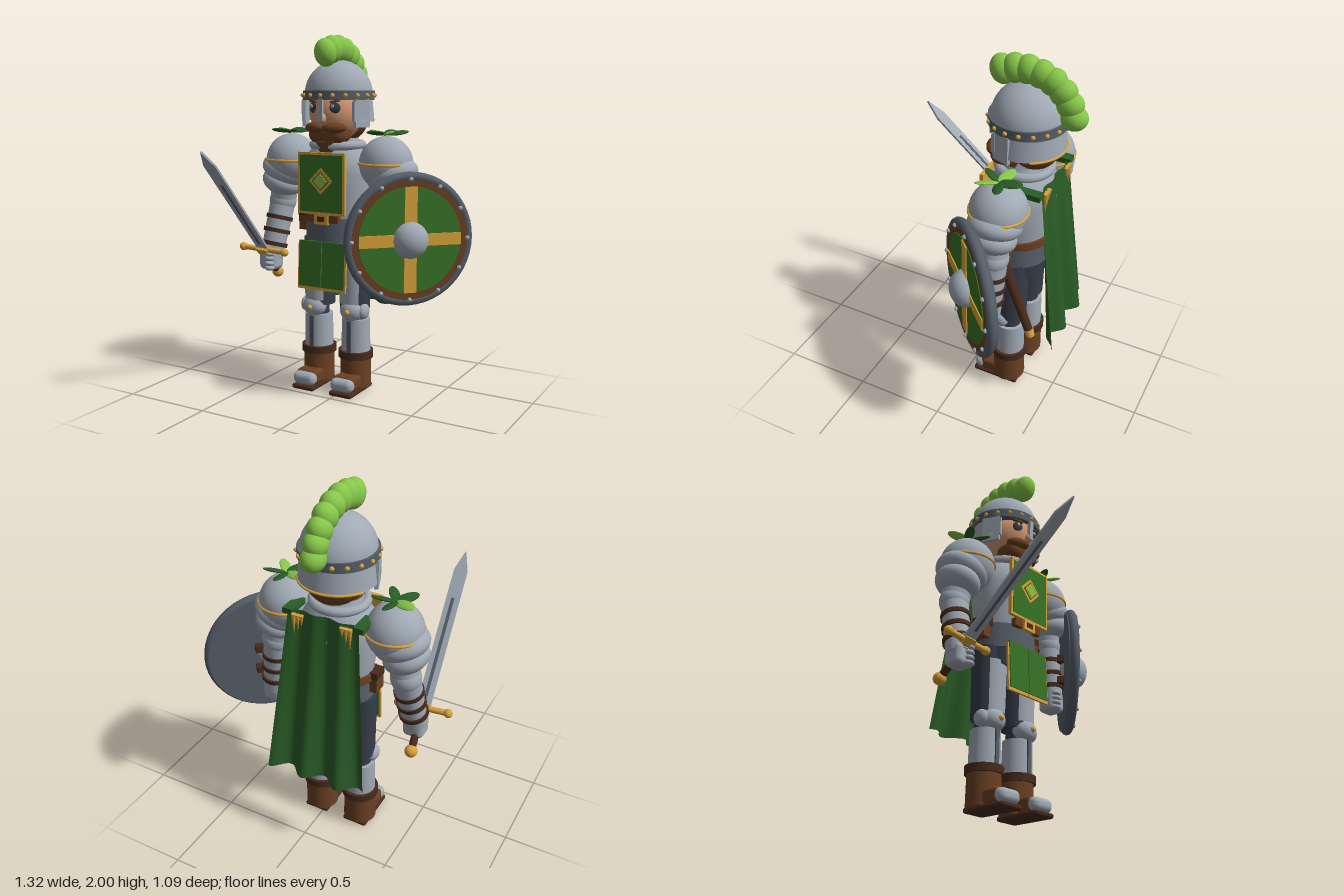
import * as THREE from 'three';
import { RoundedBoxGeometry } from 'three/addons/geometries/RoundedBoxGeometry.js';

const colour = (name, hex, side = THREE.FrontSide) => {
  const m = new THREE.MeshStandardMaterial({ color: hex, side });
  m.name = name;
  return m;
};
const steel = colour('steel', 0xa0a9b4, THREE.DoubleSide);
const darkSteel = colour('dark steel', 0x555e68);
const navy = colour('dark cloth', 0x363d48);
const skin = colour('skin', 0xd49a74);
const brown = colour('brown leather', 0x6a4022);
const darkBrown = colour('dark brown', 0x472a1c);
const gold = colour('gold', 0xd9a23a);
const green = colour('green cloth', 0x377326);
const capeGreen = colour('cape green', 0x2a5c26, THREE.DoubleSide);
const lime = colour('lime', 0x86c649);

const V = (x, y, z) => new THREE.Vector3(x, y, z);
const UP = V(0, 1, 0);

function add(parent, name, geo, mat, x = 0, y = 0, z = 0, rx = 0, ry = 0, rz = 0) {
  const m = new THREE.Mesh(geo, mat);
  m.name = name;
  m.position.set(x, y, z);
  m.rotation.set(rx, ry, rz);
  parent.add(m);
  return m;
}
const box = (w, h, d) => new THREE.BoxGeometry(w, h, d);
const softBox = (w, h, d, r) => new RoundedBoxGeometry(w, h, d, 4, r);
const cyl = (r1, r2, h, n = 32) => new THREE.CylinderGeometry(r1, r2, h, n);
const ball = (rx, ry = rx, rz = rx) => new THREE.SphereGeometry(1, 28, 18).scale(rx, ry, rz);
const ring = (r, t, arc = Math.PI * 2) => new THREE.TorusGeometry(r, t, 10, 48, arc);

// Tapered cylinder from a to b
function limb(parent, name, a, b, ra, rb, mat) {
  const d = b.clone().sub(a);
  const m = add(parent, name, cyl(rb, ra, d.length(), 24), mat);
  m.position.copy(a).lerp(b, 0.5);
  m.quaternion.setFromUnitVectors(UP, d.normalize());
  return m;
}

function buildHead() {
  const g = new THREE.Group();
  g.name = 'head';
  g.position.z = -0.01;
  add(g, 'face', ball(0.155, 0.17, 0.172), skin, 0, 1.59, 0.01);
  add(g, 'hair', ball(0.145, 0.13, 0.13), brown, 0, 1.54, -0.05);
  add(g, 'nose', ball(0.022, 0.03, 0.025), skin, 0, 1.55, 0.18);
  add(g, 'beard', softBox(0.225, 0.11, 0.15, 0.05), brown, 0, 1.465, 0.095);
  add(g, 'beardTip', cyl(0.075, 0.05, 0.06), brown, 0, 1.395, 0.11);
  for (const s of [-1, 1]) {
    add(g, 'eye', ball(0.031, 0.031, 0.012), navy, s * 0.066, 1.605, 0.158, 0, s * 0.4, 0);
    add(g, 'eyeGlint', ball(0.011, 0.011, 0.005), steel, s * 0.066 - 0.007, 1.614, 0.172);
    add(g, 'eyebrow', box(0.055, 0.012, 0.02), brown, s * 0.068, 1.641, 0.16, 0, s * 0.4, s * 0.2);
    add(g, 'moustache', ball(0.068, 0.03, 0.035), brown, s * 0.062, 1.498, 0.16, 0, s * 0.4, 0);
    add(g, 'cheekGuard', box(0.02, 0.15, 0.1), steel, s * 0.178, 1.575, 0.06, 0, -s * 0.35, 0);
    add(g, 'cheekRidge', box(0.022, 0.11, 0.025), steel, s * 0.162, 1.585, 0.105, 0, -s * 0.4, 0);
  }
  // Helmet
  add(g, 'helmetDome', new THREE.SphereGeometry(0.19, 40, 20, 0, Math.PI * 2, 0, Math.PI / 2), steel, 0, 1.675, 0);
  add(g, 'helmetBand', cyl(0.2, 0.2, 0.05, 40), darkSteel, 0, 1.672, 0);
  for (let i = 0; i < 18; i++) {
    const a = (i / 18) * Math.PI * 2;
    add(g, 'bandStud', ball(0.012), gold, Math.sin(a) * 0.2, 1.672, Math.cos(a) * 0.2);
  }
  add(g, 'neckGuard', new THREE.CylinderGeometry(0.188, 0.2, 0.12, 40, 1, true, 1.15, Math.PI * 2 - 2.3), steel, 0, 1.59, 0);
  add(g, 'neckGuardTrim', ring(0.2, 0.007, 2.2), gold, 0, 1.53, 0, -Math.PI / 2, 0, (Math.PI - 2.2) / 2);
  add(g, 'noseGuard', box(0.026, 0.12, 0.02), steel, 0, 1.595, 0.195);
  // Plume of overlapping tufts
  const arc = new THREE.CatmullRomCurve3([V(0, 1.9, 0.145), V(0, 1.926, 0.03), V(0, 1.9, -0.1),
    V(0, 1.825, -0.19), V(0, 1.725, -0.235)]);
  arc.getSpacedPoints(7).forEach((p, i) =>
    add(g, 'plumeTuft', ball(0.06, 0.077 - i * 0.001, 0.064), lime, p.x, p.y, p.z, 0.3 - i * 0.25));
  return g;
}

function buildTorso() {
  const g = new THREE.Group();
  g.name = 'torso';
  const profile = [[0, 0.86], [0.15, 0.87], [0.175, 0.97], [0.19, 1.1], [0.205, 1.24], [0.195, 1.32], [0.15, 1.38], [0.125, 1.41], [0.12, 1.44]];
  add(g, 'breastplate', new THREE.LatheGeometry(profile.map(p => new THREE.Vector2(...p)), 40).scale(1, 1, 0.85), steel);
  add(g, 'gorget', ring(0.135, 0.025), steel, 0, 1.4, 0, Math.PI / 2);
  add(g, 'waistPlate', cyl(0.178, 0.186, 0.14).scale(1, 1, 0.88), darkSteel, 0, 0.93, 0);
  add(g, 'hips', cyl(0.18, 0.17, 0.1).scale(1, 1, 0.85), navy, 0, 0.82, 0);
  add(g, 'belt', new THREE.CylinderGeometry(0.192, 0.192, 0.045, 40, 1, false, 1.1, Math.PI * 2 - 2.2).scale(1, 1, 0.88), brown, 0, 1.0, 0);
  add(g, 'beltFront', box(0.2, 0.042, 0.03), brown, 0, 1.0, 0.16);
  add(g, 'buckle', box(0.085, 0.06, 0.02), gold, 0, 1.0, 0.178);
  add(g, 'buckleCentre', box(0.045, 0.028, 0.008), darkBrown, 0, 1.0, 0.186);
  for (const s of [-1, 1]) {
    add(g, 'pouch', box(0.05, 0.11, 0.08), brown, s * 0.195, 0.965, 0.02);
    add(g, 'pouchFlap', box(0.055, 0.035, 0.086), darkBrown, s * 0.195, 1.01, 0.02);
  }
  // Chest tabard with diamond emblem
  add(g, 'tabardBorder', box(0.295, 0.34, 0.02), gold, 0, 1.195, 0.175);
  add(g, 'tabard', box(0.268, 0.313, 0.008), green, 0, 1.195, 0.183);
  [[0.104, gold], [0.076, green], [0.064, gold], [0.052, lime]].forEach(([w, m], i) =>
    add(g, 'emblem', box(w, w, 0.006), m, 0, 1.21, 0.186 + i * 0.0025, 0, 0, Math.PI / 4));
  // Hanging skirt panels
  for (const s of [-1, 1]) {
    add(g, 'skirtPanelBorder', box(0.152, 0.265, 0.012), gold, s * 0.077, 0.73, 0.172, -0.05);
    add(g, 'skirtPanel', box(0.142, 0.257, 0.02), green, s * 0.073, 0.743, 0.173, -0.05);
  }
  // Scabbard on the left hip
  const top = V(0.225, 0.99, 0.03), tip = V(0.25, 0.53, -0.165);
  limb(g, 'scabbard', top, tip, 0.03, 0.024, darkBrown);
  limb(g, 'scabbardTip', tip, V(0.253, 0.49, -0.183), 0.029, 0.022, gold);
  return g;
}

function buildLeg(s) {
  const g = new THREE.Group();
  g.name = s > 0 ? 'leftLeg' : 'rightLeg';
  g.position.x = s * 0.122;
  add(g, 'thigh', cyl(0.092, 0.086, 0.39), navy, -s * 0.008, 0.675, 0);
  add(g, 'thighPlate', new THREE.CylinderGeometry(0.096, 0.09, 0.28, 24, 1, true, -0.75, 1.5), steel, -s * 0.008, 0.65, 0.003);
  add(g, 'kneeJoint', cyl(0.06, 0.06, 0.12), navy, 0, 0.45, 0);
  add(g, 'kneeCap', ball(0.07, 0.062, 0.06), steel, 0, 0.47, 0.05);
  add(g, 'kneeWing', ball(0.03, 0.045, 0.045), steel, s * 0.065, 0.47, 0.03);
  add(g, 'kneeStud', ball(0.016), gold, 0, 0.47, 0.108);
  add(g, 'greave', cyl(0.08, 0.084, 0.22), steel, 0, 0.31, 0);
  add(g, 'greaveRidge', box(0.025, 0.19, 0.02), darkSteel, 0, 0.32, 0.079);
  // Boot
  add(g, 'bootCuff', cyl(0.1, 0.1, 0.042), darkBrown, 0, 0.212, 0);
  add(g, 'bootShaft', cyl(0.088, 0.09, 0.17), brown, 0, 0.11, 0);
  add(g, 'bootFoot', softBox(0.135, 0.085, 0.16, 0.025), brown, 0, 0.065, 0.075);
  add(g, 'toeCap', softBox(0.142, 0.072, 0.07, 0.032), steel, 0, 0.063, 0.158);
  add(g, 'sole', softBox(0.142, 0.028, 0.27, 0.013), darkBrown, 0, 0.014, 0.06);
  return g;
}

function buildArm(s, handZ) {
  const g = new THREE.Group();
  g.name = s > 0 ? 'leftArm' : 'rightArm';
  const elbow = V(s * 0.375, 1.06, -0.01), hand = V(s * 0.405, 0.73, handZ);
  add(g, 'pauldron', ball(0.148, 0.15, 0.15), steel, s * 0.303, 1.305, 0);
  add(g, 'pauldronTrim', ring(0.148, 0.008), gold, s * 0.303, 1.305, 0, Math.PI / 2);
  add(g, 'upperLame', ball(0.145, 0.085, 0.14), steel, s * 0.342, 1.245, 0, 0, 0, s * 0.35);
  add(g, 'lowerLame', ball(0.12, 0.08, 0.125), steel, s * 0.368, 1.175, 0, 0, 0, s * 0.35);
  limb(g, 'upperArm', V(s * 0.34, 1.25, 0), elbow, 0.085, 0.075, steel);
  add(g, 'elbow', ball(0.08), steel, elbow.x, elbow.y, elbow.z);
  limb(g, 'forearm', elbow, hand, 0.074, 0.066, steel);
  for (const t of [0.27, 0.5, 0.73]) {
    limb(g, 'forearmStrap', elbow.clone().lerp(hand, t), elbow.clone().lerp(hand, t + 0.07), 0.079, 0.078, darkBrown);
  }
  add(g, 'gauntlet', softBox(0.115, 0.12, 0.11, 0.03), steel, hand.x, hand.y - 0.01, hand.z);
  for (let i = 0; i < 4; i++) {
    add(g, 'finger', ball(0.03, 0.018, 0.035), steel, hand.x - s * 0.02, hand.y + 0.03 - i * 0.028, hand.z + 0.045);
  }
  // Leaf cluster on the shoulder
  for (let i = 0; i < 5; i++) {
    const a = Math.PI + (i / 5) * Math.PI * 2 + 0.05 * s;
    const leaf = add(g, 'leaf', ball(0.029, 0.009, 0.062), i === 1 || i === 4 - s ? lime : capeGreen,
      s * 0.303 + Math.sin(a) * 0.06, 1.472, Math.cos(a) * 0.06);
    leaf.rotation.set(-0.12, a, 0.3, 'YXZ');
  }
  return g;
}

function buildCape() {
  const g = new THREE.Group();
  g.name = 'capeGroup';
  const geo = new THREE.PlaneGeometry(1, 1, 40, 16);
  const p = geo.attributes.position;
  for (let i = 0; i < p.count; i++) {
    const u = p.getX(i) * 2, t = 0.5 - p.getY(i);
    const fold = Math.cos((u - 0.25) * Math.PI * 2.67) * (0.008 + 0.028 * t);
    p.setXYZ(i, u * (0.19 + 0.08 * t), 1.38 - 0.93 * t, -0.168 - 0.11 * t - fold);
  }
  geo.computeVertexNormals();
  add(g, 'cape', geo, capeGreen);
  for (const s of [-1, 1]) {
    add(g, 'capeStrap', box(0.055, 0.03, 0.13), capeGreen, s * 0.195, 1.365, -0.115);
    for (let i = 0; i < 3; i++) {
      const h = 0.12 - i * 0.03;
      add(g, 'capeClasp', new THREE.ConeGeometry(0.013, h, 8), gold, s * (0.155 - i * 0.022), 1.365 - h / 2, -0.184, Math.PI);
    }
  }
  return g;
}

function buildSword() {
  const g = new THREE.Group();
  g.name = 'sword';
  const y = V(0.06, 0.605, 0.625).normalize();
  const x = V(1, 0, 0).addScaledVector(y, -y.x).normalize();
  g.quaternion.setFromRotationMatrix(new THREE.Matrix4().makeBasis(x, y, x.clone().cross(y)));
  g.position.set(-0.497, 0.785, -0.09);
  const shape = new THREE.Shape([[-0.037, 0], [0.037, 0], [0.037, 0.77], [0, 0.88], [-0.037, 0.77]].map(q => new THREE.Vector2(...q)));
  add(g, 'blade', new THREE.ExtrudeGeometry(shape, { depth: 0.012, bevelEnabled: false }), steel, 0, 0, -0.006);
  add(g, 'fuller', box(0.018, 0.55, 0.014), darkSteel, 0, 0.335, 0);
  add(g, 'crossGuard', cyl(0.016, 0.016, 0.28), gold, 0, 0, 0, 0, 0, Math.PI / 2);
  add(g, 'guardBlock', box(0.07, 0.045, 0.045), gold);
  for (const s of [-1, 1]) add(g, 'guardEnd', ball(0.024), gold, s * 0.138, 0, 0);
  add(g, 'grip', cyl(0.02, 0.02, 0.22), darkBrown, 0, -0.11, 0);
  add(g, 'pommel', ball(0.034), gold, 0, -0.235, 0);
  return g;
}

function buildShield() {
  const g = new THREE.Group();
  g.name = 'shield';
  g.position.set(0.393, 0.913, -0.162);
  g.rotation.y = Math.PI / 4;
  const disc = (name, r, h, m, z) => add(g, name, cyl(r, r, h, 56), m, 0, 0, z, Math.PI / 2);
  disc('shieldBack', 0.345, 0.05, darkSteel, -0.006);
  add(g, 'shieldRim', ring(0.336, 0.027), darkSteel);
  disc('leatherRing', 0.325, 0.008, brown, 0.021);
  disc('shieldField', 0.288, 0.008, green, 0.025);
  add(g, 'crossUpright', box(0.07, 0.572, 0.009), gold, 0, 0, 0.03);
  add(g, 'crossBar', box(0.572, 0.066, 0.009), gold, 0, 0, 0.0302);
  add(g, 'boss', ball(0.098, 0.1, 0.085), steel, 0, 0, 0.025);
  for (let i = 0; i < 12; i++) {
    const a = (i / 12) * Math.PI * 2;
    add(g, 'rivet', ball(0.012), steel, Math.cos(a) * 0.325, Math.sin(a) * 0.325, 0.028);
  }
  for (const y of [0.05, -0.08]) add(g, 'armStrap', box(0.18, 0.04, 0.05), darkBrown, 0, y, -0.045);
  return g;
}

export function createModel() {
  const root = new THREE.Group();
  root.name = 'knight';
  const body = new THREE.Group();
  body.name = 'body';
  body.position.set(-0.083, 0, -0.23);
  body.add(buildHead(), buildTorso(), buildCape());
  body.add(buildLeg(-1), buildLeg(1), buildArm(-1, 0.075), buildArm(1, 0.0));
  root.add(body, buildSword(), buildShield());
  return root;
}
